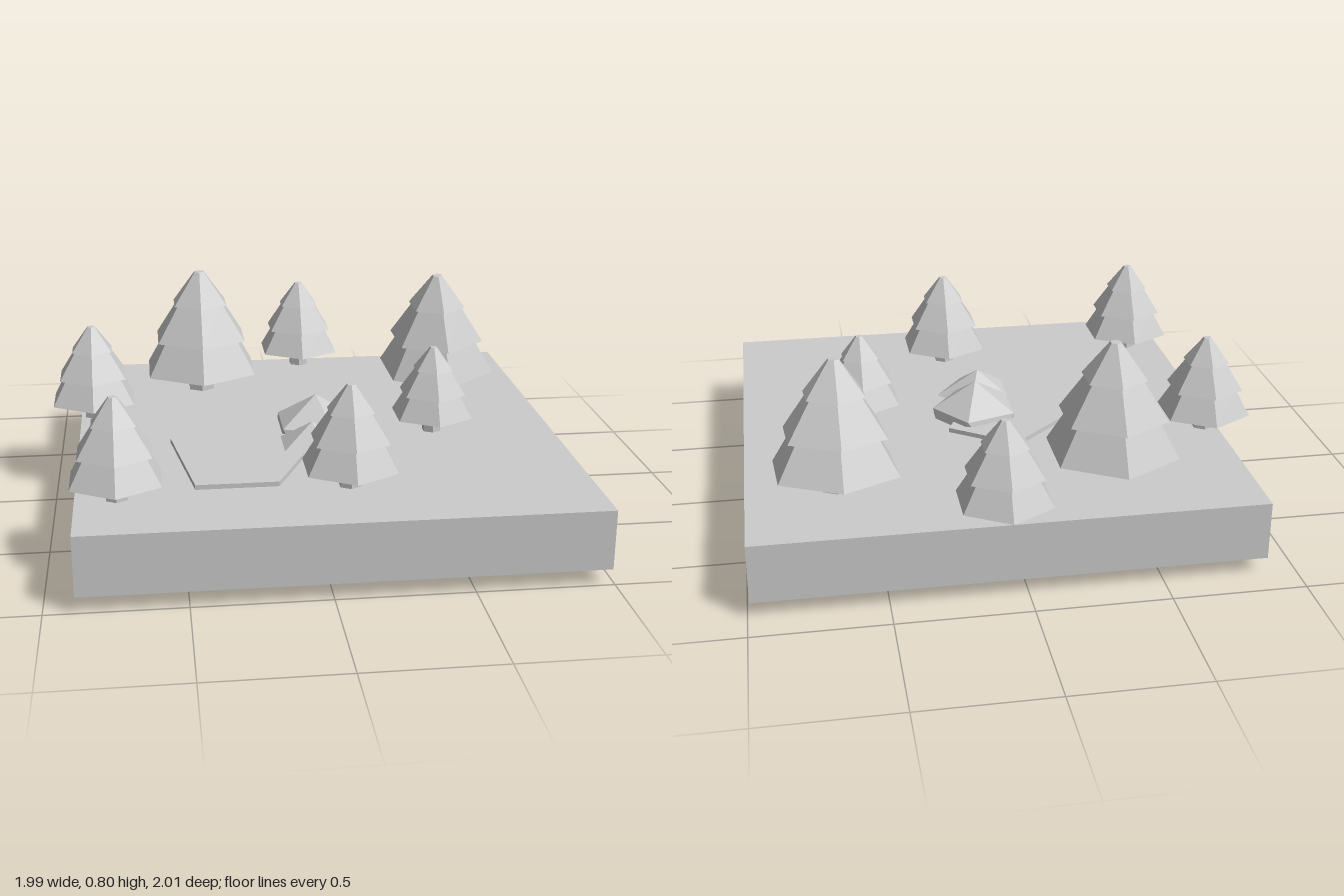
import * as THREE from 'three';

const material = new THREE.MeshStandardMaterial({ color: 0xcccccc, flatShading: true });

function addMesh(parent, name, geometry, x = 0, y = 0, z = 0) {
  const mesh = new THREE.Mesh(geometry, material);
  mesh.name = name;
  mesh.position.set(x, y, z);
  parent.add(mesh);
  return mesh;
}

// Six-sided conifer: short trunk and three stacked skirts
function makeTree(scale) {
  const tree = new THREE.Group();
  tree.name = 'tree';
  addMesh(tree, 'trunk', new THREE.CylinderGeometry(0.06, 0.06, 0.14, 6), 0, 0.01, 0);
  const tiers = [ // bottom y, top y, bottom radius, top radius
    [0.057, 0.205, 0.26, 0.172],
    [0.2, 0.355, 0.212, 0.107],
    [0.35, 0.487, 0.127, 0.022],
  ];
  tiers.forEach(([y0, y1, r0, r1], i) =>
    addMesh(tree, 'foliage' + (i + 1), new THREE.CylinderGeometry(r1, r0, y1 - y0, 6), 0, (y0 + y1) / 2, 0));
  tree.scale.setScalar(scale);
  return tree;
}

export function createModel() {
  const model = new THREE.Group();
  model.name = 'forestClearing';

  // Ground slab
  addMesh(model, 'ground', new THREE.BoxGeometry(1.88, 0.225, 1.88), 0.05, 0.1725, 0.06);

  // Thin five-cornered pond
  const outline = [[-0.065, -0.27], [0.18, -0.1], [-0.155, 0.645], [-0.46, 0.645], [-0.535, 0.155]];
  const shape = new THREE.Shape(outline.map(([x, z]) => new THREE.Vector2(x, -z)));
  const pond = new THREE.ExtrudeGeometry(shape, { depth: 0.033, bevelEnabled: false });
  addMesh(model, 'pond', pond.rotateX(-Math.PI / 2), 0, 0.27, 0);

  // Rocks: icosahedra standing on one corner, sunk through the slab
  const rock = new THREE.IcosahedronGeometry(0.195, 0)
    .rotateX(-Math.atan((1 + Math.sqrt(5)) / 2))
    .rotateY(Math.PI / 2);
  addMesh(model, 'rearRock', rock, 0.05, 0.235, 0.058);
  addMesh(model, 'frontRock', rock, 0.01, 0.195, 0.265);

  // Upright trees: x, z, scale
  const trees = [
    [-0.38, -0.52, 1],
    [0.08, -0.82, 0.717],
    [-0.835, -0.2, 0.717],
    [-0.74, 0.69, 0.717],
    [0.1, 0.66, 0.725],
    [0.51, 0.125, 0.645],
  ];
  for (const [x, z, scale] of trees) {
    const tree = makeTree(scale);
    tree.position.set(x, 0.317, z);
    model.add(tree);
  }

  // Leaning tree
  const leaning = makeTree(0.98);
  leaning.name = 'leaningTree';
  leaning.position.set(0.655, 0.302, -0.494);
  leaning.rotation.set(0.1, 0.06, 0.03);
  model.add(leaning);

  return model;
}
